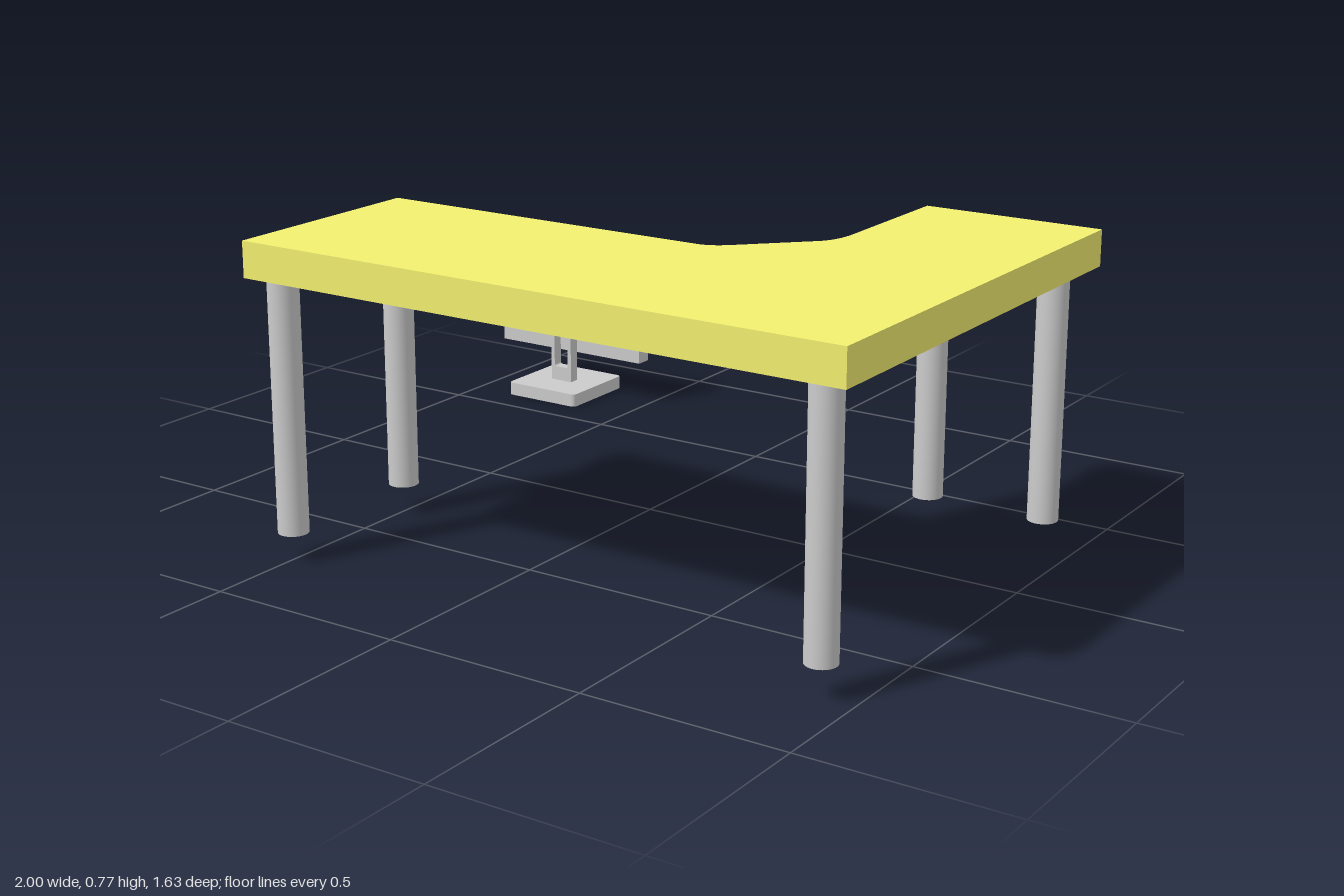
import * as THREE from 'three';

const grey = new THREE.MeshStandardMaterial({ color: 0xcccccc });
const yellow = new THREE.MeshStandardMaterial({ color: 0xf3f070 });

function add(parent, name, geometry, material, x = 0, y = 0, z = 0) {
  const mesh = new THREE.Mesh(geometry, material);
  mesh.name = name;
  mesh.position.set(x, y, z);
  parent.add(mesh);
  return mesh;
}

// Extrudes a plan outline drawn in (x, -z) straight up, standing on y = 0
function slab(shape, height) {
  return new THREE.ExtrudeGeometry(shape, { depth: height, bevelEnabled: false, curveSegments: 16 })
    .rotateX(-Math.PI / 2);
}

// Rectangle with rounded corners, centred on the given point
function roundedRect(path, cx, cy, w, h, r) {
  const x0 = cx - w / 2, x1 = cx + w / 2, y0 = cy - h / 2, y1 = cy + h / 2;
  path.moveTo(x0 + r, y0);
  path.lineTo(x1 - r, y0);
  path.quadraticCurveTo(x1, y0, x1, y0 + r);
  path.lineTo(x1, y1 - r);
  path.quadraticCurveTo(x1, y1, x1 - r, y1);
  path.lineTo(x0 + r, y1);
  path.quadraticCurveTo(x0, y1, x0, y1 - r);
  path.lineTo(x0, y0 + r);
  path.quadraticCurveTo(x0, y0, x0 + r, y0);
  return path;
}

function createDesk() {
  const desk = new THREE.Group();
  desk.name = 'desk';

  // L-shaped top with a softened diagonal in the inner corner
  const top = new THREE.Shape();
  top.moveTo(-0.56, -0.813);
  top.lineTo(1, -0.813);
  top.lineTo(1, 0.372);
  top.lineTo(0.55, 0.372);
  top.lineTo(0.55, 0.01);
  top.quadraticCurveTo(0.55, -0.06, 0.517, -0.093);
  top.lineTo(0.377, -0.233);
  top.quadraticCurveTo(0.342, -0.268, 0.307, -0.268);
  top.lineTo(-0.56, -0.268);
  top.closePath();
  add(desk, 'deskTop', slab(top, 0.087), yellow, 0, 0.684, 0);

  // Round legs: x, z and the height of the foot
  const legs = [
    [-0.5, 0.75, 0.068], [-0.5, 0.348, 0.073], [0.922, 0.75, 0.079],
    [0.922, -0.293, 0.073], [0.617, -0.293, 0.073],
  ];
  for (const [x, z, foot] of legs) {
    const height = 0.686 - foot;
    add(desk, 'leg', new THREE.CylinderGeometry(0.037, 0.037, height, 32), grey, x, foot + height / 2, z);
  }
  return desk;
}

function createMonitor() {
  const monitor = new THREE.Group();
  monitor.name = 'monitor';
  const cx = -0.77;

  // Foot plate
  const foot = roundedRect(new THREE.Shape(), cx, 0.704, 0.23, 0.232, 0.014);
  add(monitor, 'standBase', slab(foot, 0.036), grey);

  // Upright with a rounded opening
  const upright = new THREE.Shape();
  upright.moveTo(cx - 0.034, 0.034);
  upright.lineTo(cx + 0.034, 0.034);
  upright.lineTo(cx + 0.034, 0.2);
  upright.lineTo(cx - 0.034, 0.2);
  upright.closePath();
  upright.holes.push(roundedRect(new THREE.Path(), cx, 0.126, 0.046, 0.1, 0.008));
  add(monitor, 'standUpright',
    new THREE.ExtrudeGeometry(upright, { depth: 0.03, bevelEnabled: false }), grey, 0, 0, -0.715);

  // Hinge barrel
  add(monitor, 'hinge', new THREE.CylinderGeometry(0.018, 0.018, 0.139, 24).rotateZ(Math.PI / 2),
    grey, cx + 0.001, 0.2, -0.702);

  // Screen: flat towards +z, concave towards -z
  const screen = new THREE.Shape();
  screen.moveTo(-1, 0.719);
  screen.lineTo(-0.522, 0.719);
  screen.lineTo(-0.522, 0.763);
  screen.quadraticCurveTo(-0.761, 0.711, -1, 0.763);
  screen.closePath();
  add(monitor, 'screen', slab(screen, 0.202), grey, 0, 0.118, 0);
  return monitor;
}

export function createModel() {
  const model = new THREE.Group();
  model.name = 'deskAndMonitor';
  model.add(createDesk(), createMonitor());
  return model;
}
